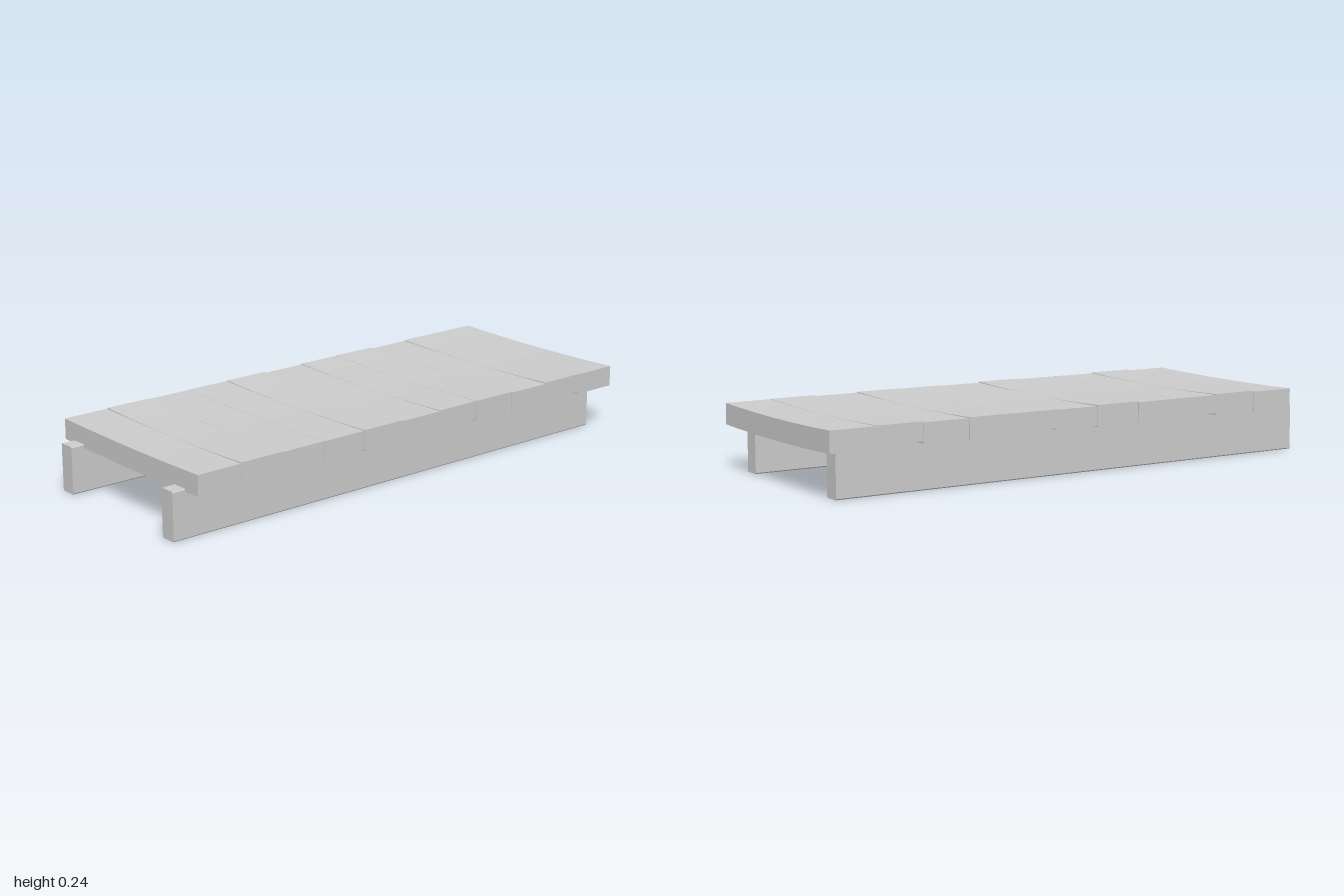
import * as THREE from 'three';

export function createModel() {
  const group = new THREE.Group();
  const material = new THREE.MeshStandardMaterial({ color: 0xcccccc });

  // Deck: eleven worn planks laid side by side, each sagging gently in the middle
  const count = 11, zBack = -1, zFront = 0.95, halfW = 0.395;
  const pitch = (zFront - zBack) / count;
  const deck = new THREE.Group();
  deck.name = 'deck';
  for (let i = 0; i < count; i++) {
    const gap = 0.001;
    const geo = new THREE.BoxGeometry(2, 1, pitch - gap, 12, 1, 2).toNonIndexed();
    const pos = geo.attributes.position;
    const wear = 0.002 * Math.sin(i * 2.3);
    const inner = i > 0 && i < count - 1;
    for (let v = 0; v < pos.count; v++) {
      const t = pos.getX(v), top = pos.getY(v) > 0, z = pos.getZ(v);
      const sag = t * t;
      const half = halfW - 0.002 * (1 + Math.sin(i * 1.7 + t));
      // inner planks are a little thinner at their ends
      const lift = inner ? 0.006 * sag * (1 + Math.sin(i * 1.9)) : 0;
      const y = top ? 0.236 + 0.007 * sag + wear * sag : 0.159 + 0.007 * sag + lift;
      pos.setXYZ(v, t * half, y, zBack + (i + 0.5) * pitch + z);
    }
    geo.computeVertexNormals();
    const plank = new THREE.Mesh(geo, material);
    plank.name = `plank${i + 1}`;
    deck.add(plank);
  }
  group.add(deck);

  // Two long support beams with slightly eased edges
  const w = 0.062, h = 0.175, c = 0.004;
  const section = new THREE.Shape([
    [-w / 2 + c, 0], [w / 2 - c, 0], [w / 2, c], [w / 2, h - c],
    [w / 2 - c, h], [-w / 2 + c, h], [-w / 2, h - c], [-w / 2, c],
  ].map(([x, y]) => new THREE.Vector2(x, y)));
  for (const [name, x] of [['leftBeam', 0.292], ['rightBeam', -0.309]]) {
    const geo = new THREE.ExtrudeGeometry(section, { depth: 1.95, bevelEnabled: false });
    const beam = new THREE.Mesh(geo, material);
    beam.name = name;
    beam.position.set(x, 0, -0.95);
    group.add(beam);
  }
  return group;
}
